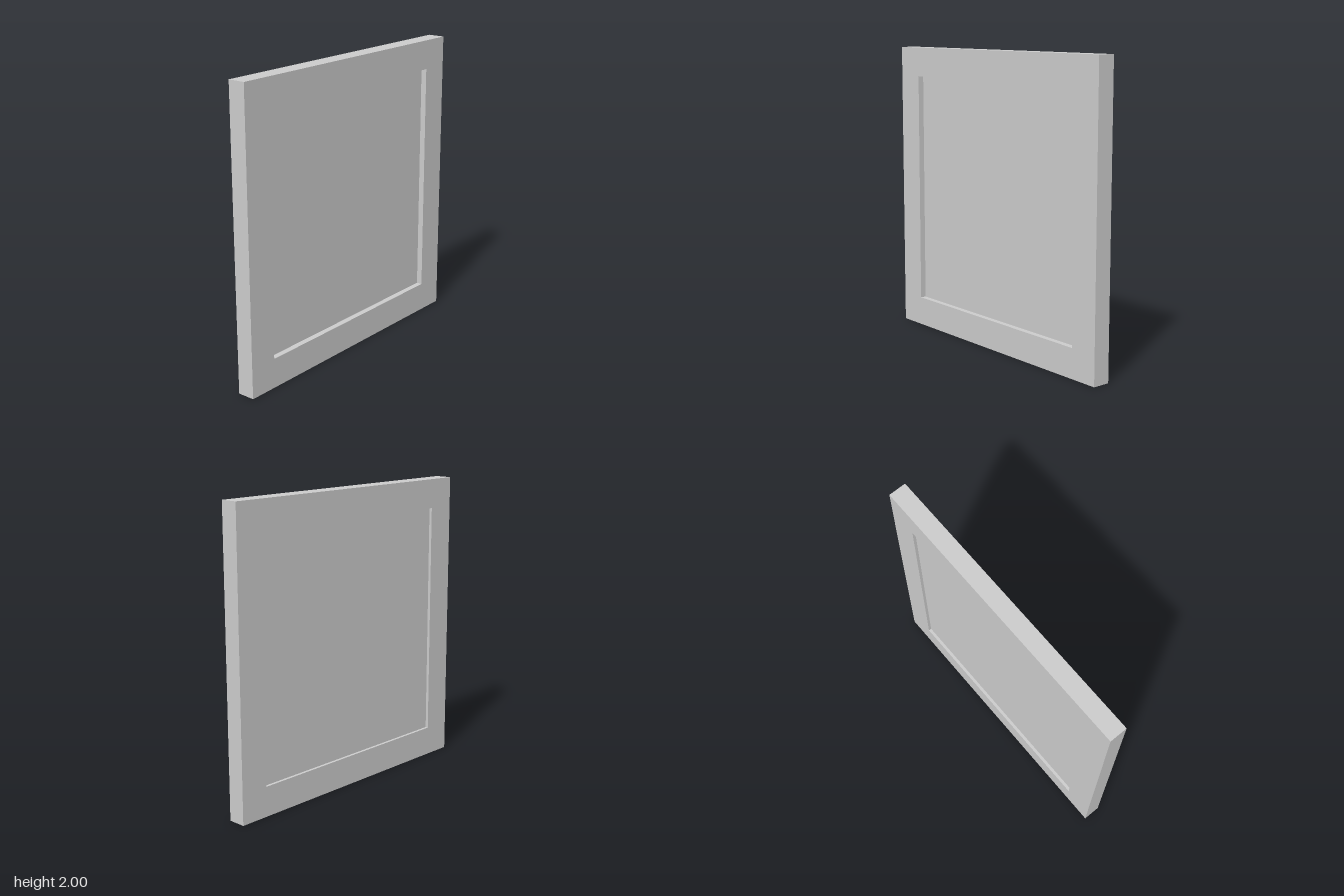
import * as THREE from 'three';

const SIZE = 2, BORDER = 0.2, THICKNESS = 0.12;
const PANEL_BACK = -0.04, PANEL_FRONT = 0.02; // recessed deeper on the +x side

// Adds the four corners of a centred square to a shape or path
function square(path, half) {
  path.moveTo(-half, -half);
  path.lineTo(half, -half);
  path.lineTo(half, half);
  path.lineTo(-half, half);
  path.closePath();
  return path;
}

export function createModel() {
  const group = new THREE.Group();
  group.name = 'framedPanel';
  const material = new THREE.MeshStandardMaterial({ color: 0xcccccc, flatShading: true });
  const inner = SIZE / 2 - BORDER;

  // Square frame, extruded through its thickness and turned to face x
  const outline = square(new THREE.Shape(), SIZE / 2);
  outline.holes.push(square(new THREE.Path(), inner));
  const frameGeometry = new THREE.ExtrudeGeometry(outline, { depth: THICKNESS, bevelEnabled: false });
  frameGeometry.translate(0, 0, -THICKNESS / 2).rotateY(Math.PI / 2);
  const frame = new THREE.Mesh(frameGeometry, material);
  frame.name = 'frame';
  frame.position.y = SIZE / 2;

  // Flat panel set into the frame
  const panel = new THREE.Mesh(
    new THREE.BoxGeometry(PANEL_FRONT - PANEL_BACK, inner * 2, inner * 2), material);
  panel.name = 'panel';
  panel.position.set((PANEL_FRONT + PANEL_BACK) / 2, SIZE / 2, 0);

  group.add(frame, panel);
  return group;
}
